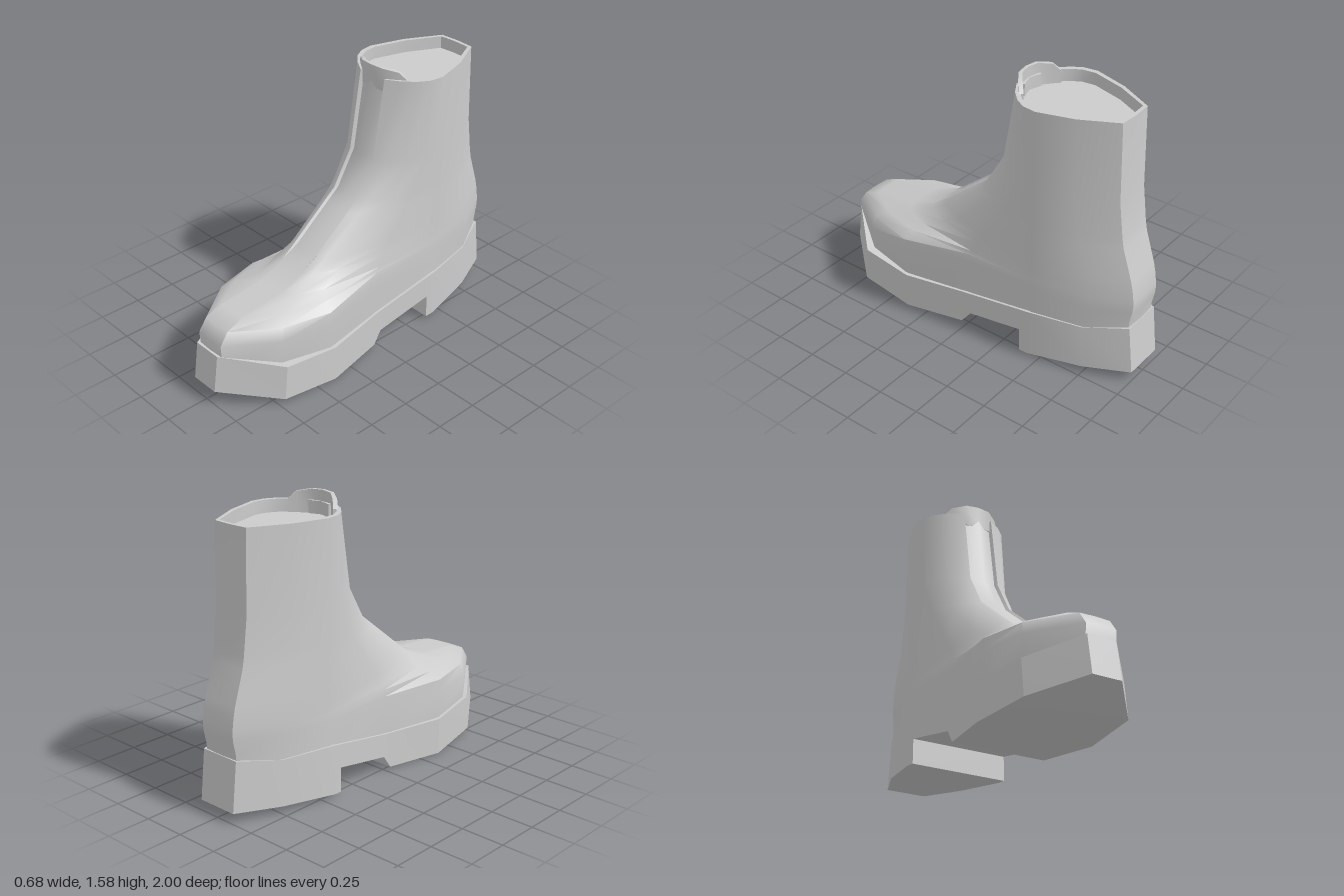
import * as THREE from 'three';
import { toCreasedNormals } from 'three/addons/utils/BufferGeometryUtils.js';

const material = new THREE.MeshStandardMaterial({ color: 0xcccccc });

// Skins closed loops of [x, y, z] points; optional caps fan from the loop centre
function loft(loops, capStart, capEnd) {
  const n = loops[0].length, pos = [], index = [];
  loops.forEach(l => l.forEach(p => pos.push(...p)));
  for (let r = 0; r < loops.length - 1; r++) {
    for (let i = 0; i < n; i++) {
      const a = r * n + i, b = r * n + (i + 1) % n;
      index.push(a, b, b + n, a, b + n, a + n);
    }
  }
  const cap = (r, flip) => {
    const c = pos.length / 3;
    pos.push(...[0, 1, 2].map(k => loops[r].reduce((s, p) => s + p[k], 0) / n));
    for (let i = 0; i < n; i++) {
      const a = r * n + i, b = r * n + (i + 1) % n;
      index.push(c, flip ? b : a, flip ? a : b);
    }
  };
  if (capStart) cap(0, true);
  if (capEnd) cap(loops.length - 1, false);
  const g = new THREE.BufferGeometry();
  g.setAttribute('position', new THREE.Float32BufferAttribute(pos, 3));
  g.setIndex(index);
  return g;
}

function addMesh(group, name, geometry, crease) {
  const mesh = new THREE.Mesh(toCreasedNormals(geometry, crease), material);
  mesh.name = name;
  group.add(mesh);
}

// Mirrors a half outline (front centre to back centre) into a full loop
const mirrorLoop = half => [
  ...half,
  ...half.slice(1, -1).reverse().map(([x, y, z]) => [-x, y, z]),
];

// Horizontal ring of the upper; step is the depth of the tongue recess
function upperRing([y, zf, step, x3, z3, x4, z4, x5, z5, zb]) {
  return mirrorLoop([
    [0, y, zf], [0.08, y, zf - 0.005 - step], [0.09, y, zf - 0.005],
    [x3, y, z3], [x4, y, z4], [x5, y, z5],
    [0.275, y, -0.45], [0.215, y, zb + 0.2], [0.11, y, zb], [0, y, zb - 0.006],
  ]);
}

function createUpper() {
  const rings = [
    [0.20, 0.95, 0, 0.27, 0.69, 0.322, 0.40, 0.262, 0, -0.95],
    [0.37, 0.96, 0, 0.275, 0.69, 0.33, 0.40, 0.265, 0, -0.96],
    [0.44, 0.91, 0, 0.26, 0.67, 0.325, 0.40, 0.265, 0, -0.975],
    [0.48, 0.81, 0, 0.21, 0.62, 0.27, 0.38, 0.262, 0, -0.978],
    [0.505, 0.55, 0, 0.15, 0.50, 0.21, 0.34, 0.255, -0.02, -0.977],
    [0.57, 0.38, 0, 0.13, 0.35, 0.19, 0.22, 0.25, -0.06, -0.968],
    [0.63, 0.30, 0.02, 0.13, 0.26, 0.20, 0.10, 0.25, -0.10, -0.955],
    [0.81, 0.075, 0.02, 0.135, 0.03, 0.20, -0.08, 0.25, -0.22, -0.898],
    [0.87, 0.0, 0.02, 0.14, -0.04, 0.21, -0.14, 0.255, -0.26, -0.887],
    [1.07, -0.12, 0.02, 0.15, -0.16, 0.22, -0.25, 0.265, -0.35, -0.862],
    [1.52, -0.195, 0.02, 0.17, -0.25, 0.23, -0.31, 0.265, -0.37, -0.85],
  ].map(upperRing);
  // Rim, inner wall and the floor closing the shaft
  const inner = y => rings[10].map(([x, , z]) => [x * 0.9, y, -0.52 + (z + 0.52) * 0.94]);
  return loft([...rings, inner(1.52), inner(1.45)], true, true);
}

function createSole() {
  // zTop, zBottom, half width, sideways shift, top, bottom; from heel to toe
  const stations = [
    [-0.97, -1.0, 0.12, 0, 0.34, 0.06],
    [-0.74, -0.75, 0.225, 0, 0.305, 0.045],
    [-0.43, -0.43, 0.29, 0, 0.30, 0.018],
    [-0.38, -0.38, 0.287, 0, 0.29, 0.015],
    [-0.38, -0.38, 0.287, 0, 0.29, 0.155],
    [-0.02, -0.02, 0.277, 0, 0.225, 0.09],
    [0.03, 0.03, 0.28, 0, 0.22, 0.015],
    [0.38, 0.38, 0.342, 0, 0.21, 0],
    [0.70, 0.72, 0.305, 0.015, 0.235, 0.032],
    [0.97, 1.0, 0.085, -0.01, 0.305, 0.09],
  ];
  return loft(stations.map(([zt, zb, w, s, top, bot]) => [
    [s - w, bot, zb], [s + w, bot, zb], [s + w, top, zt], [s - w, top, zt],
  ]), true, true);
}

// Curved tongue tip standing above the front of the rim
function createTongue() {
  const half = [[0, 1.58, -0.19], [0.075, 1.577, -0.2], [0.145, 1.562, -0.25], [0.18, 1.52, -0.28]];
  const arc = [...half.slice(1).reverse().map(([x, y, z]) => [-x, y, z]), ...half];
  arc.splice(4, arc.length, ...half.slice(1));
  const loops = arc.map(([x, top, z]) => {
    const xi = x * 0.9, zi = z - 0.018;
    return [[x, 1.45, z], [x, top, z], [xi, top, zi], [xi, 1.45, zi]].reverse();
  });
  return loft(loops, true, true);
}

export function createModel() {
  const group = new THREE.Group();
  group.name = 'boot';
  addMesh(group, 'upper', createUpper(), 0.75);
  addMesh(group, 'sole', createSole(), 0.3);
  addMesh(group, 'tongue', createTongue(), 0.6);
  return group;
}
